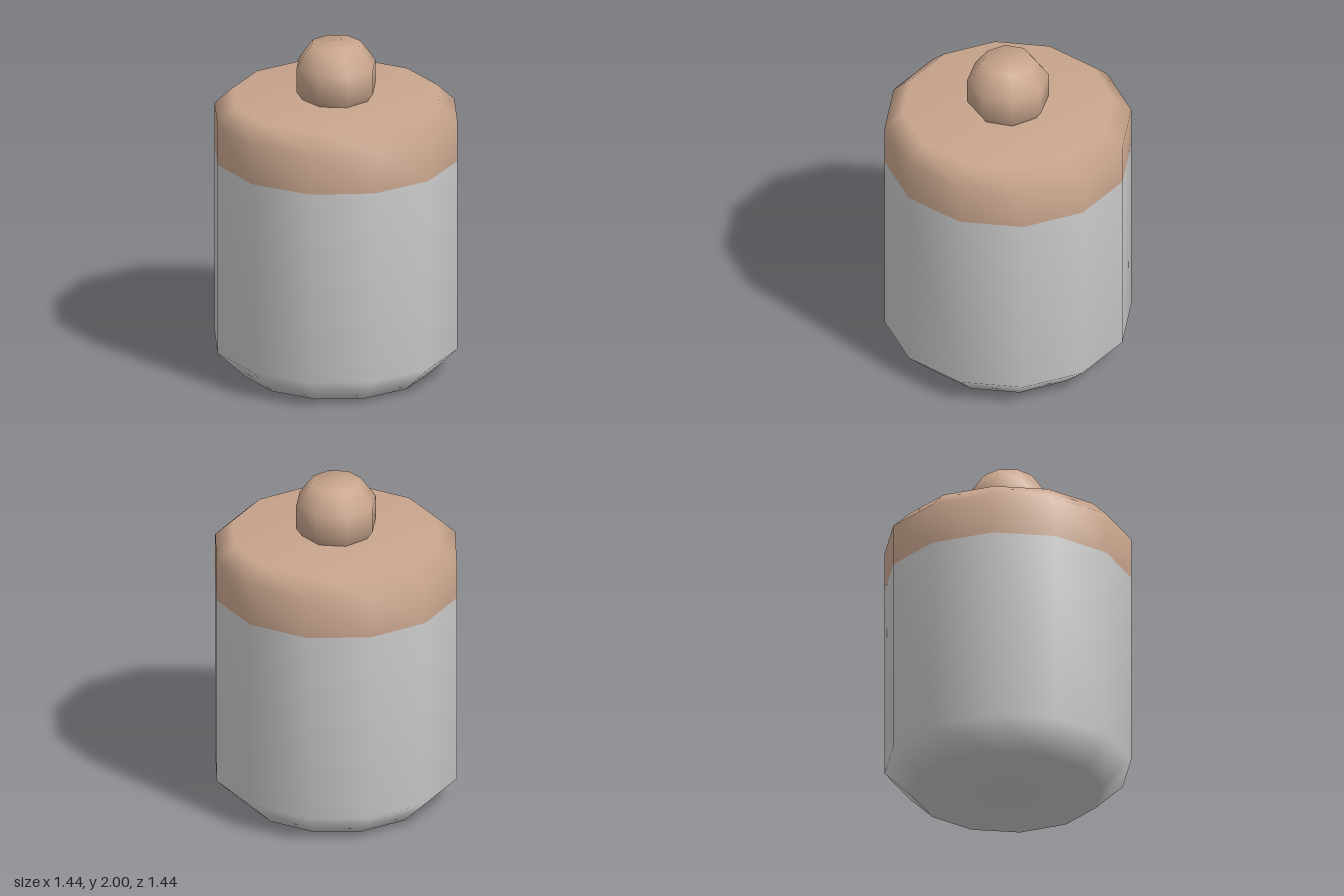
import * as THREE from 'three';

export function createModel() {
  const model = new THREE.Group();
  model.name = 'lidded jar';

  const glaze = new THREE.MeshStandardMaterial({ color: 0xcccccc });
  glaze.name = 'pale grey';
  const wood = new THREE.MeshStandardMaterial({ color: 0xc8a58d });
  wood.name = 'tan';

  // Turns a profile of [radius, height] pairs, listed bottom to top
  const turn = (name, profile, sides, material) => {
    const points = profile.map(([r, y]) => new THREE.Vector2(r, y));
    const mesh = new THREE.Mesh(new THREE.LatheGeometry(points, sides), material);
    mesh.name = name;
    model.add(mesh);
  };

  // Body with a bevelled foot
  turn('body', [[0, 0], [0.55, 0], [0.72, 0.165], [0.72, 1.33]], 12, glaze);

  // Lid with a bevelled rim
  turn('lid', [[0.72, 1.33], [0.72, 1.575], [0.615, 1.675], [0, 1.675]], 12, wood);

  // Faceted round knob, sunk slightly into the lid
  turn('knob', [[0, 1.6], [0.15, 1.6], [0.24, 1.725], [0.24, 1.875], [0.15, 2], [0, 2]], 8, wood);

  return model;
}
